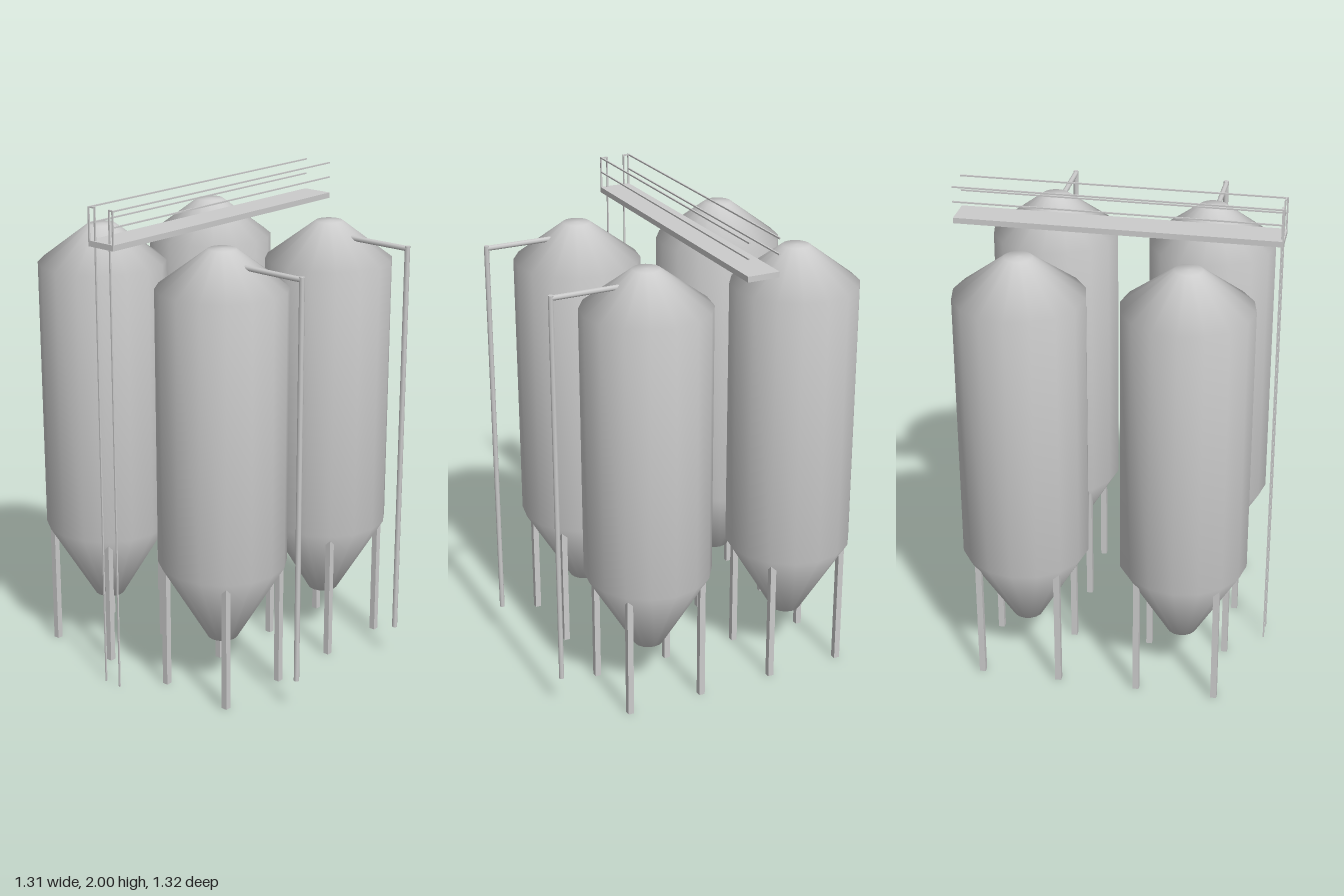
import * as THREE from 'three';

const material = new THREE.MeshStandardMaterial({ color: 0xcccccc });

function add(parent, name, geometry, x = 0, y = 0, z = 0) {
  const mesh = new THREE.Mesh(geometry, material);
  mesh.name = name;
  mesh.position.set(x, y, z);
  parent.add(mesh);
  return mesh;
}

// Box given by its minimum and maximum corners
function boxBetween(parent, name, [x0, y0, z0], [x1, y1, z1]) {
  return add(parent, name, new THREE.BoxGeometry(x1 - x0, y1 - y0, z1 - z0),
    (x0 + x1) / 2, (y0 + y1) / 2, (z0 + z1) / 2);
}

function createSilo(withPipe) {
  const silo = new THREE.Group();
  silo.name = 'silo';

  // Hopper, barrel and conical roof in one smooth 16-sided shell
  const profile = [[0, 0.215], [0.062, 0.215], [0.262, 0.55], [0.262, 1.685], [0.056, 1.84], [0, 1.842]]
    .map(([r, y]) => new THREE.Vector2(r, y));
  add(silo, 'tank', new THREE.LatheGeometry(profile, 16));

  // Four square legs running up into the hopper
  for (const sx of [-1, 1]) for (const sz of [-1, 1]) {
    add(silo, 'leg', new THREE.BoxGeometry(0.025, 0.55, 0.025), sx * 0.163, 0.275, sz * 0.163);
  }

  // Filling pipe: vertical run in front, horizontal run into the roof
  if (withPipe) {
    const r = 0.011, z = 0.394, bottom = 0.14, top = 1.795;
    add(silo, 'fillPipe', new THREE.CylinderGeometry(r, r, top - bottom, 8), 0, (top + bottom) / 2, z);
    const arm = add(silo, 'fillPipeArm', new THREE.CylinderGeometry(r, r, z - 0.08, 8), 0, top - r, (z + 0.08) / 2);
    arm.rotation.x = Math.PI / 2;
  }
  return silo;
}

function createWalkway() {
  const walkway = new THREE.Group();
  walkway.name = 'walkway';
  const end = 0.655, t = 0.006, mid = -0.071;
  boxBetween(walkway, 'platform', [-end, 1.845, -0.138], [end, 1.868, -0.004]);

  for (const side of [-1, 1]) {
    const zRail = mid + side * 0.064;
    const zLadder = mid + side * 0.039;
    // Two long handrails per side with a post at the ladder end
    for (const y of [1.935, 2 - t / 2]) {
      add(walkway, 'handrail', new THREE.BoxGeometry(2 * end, t, t), 0, y, zRail);
    }
    boxBetween(walkway, 'railPost', [-end, 1.86, zRail - t / 2], [-end + t, 2, zRail + t / 2]);
    // Ladder upright, tied to the handrail at the top
    boxBetween(walkway, 'ladderUpright', [-0.648, 0, zLadder - t / 2], [-0.648 + t, 2, zLadder + t / 2]);
    boxBetween(walkway, 'railReturn',
      [-0.65, 2 - t, Math.min(zRail, zLadder)], [-0.65 + t, 2, Math.max(zRail, zLadder)]);
  }
  return walkway;
}

export function createModel() {
  const model = new THREE.Group();
  model.name = 'siloBattery';
  for (const x of [-0.328, 0.328]) {
    for (const z of [0.255, -0.4]) {
      const silo = createSilo(z > 0);
      silo.position.set(x, 0, z);
      model.add(silo);
    }
  }
  model.add(createWalkway());
  return model;
}
